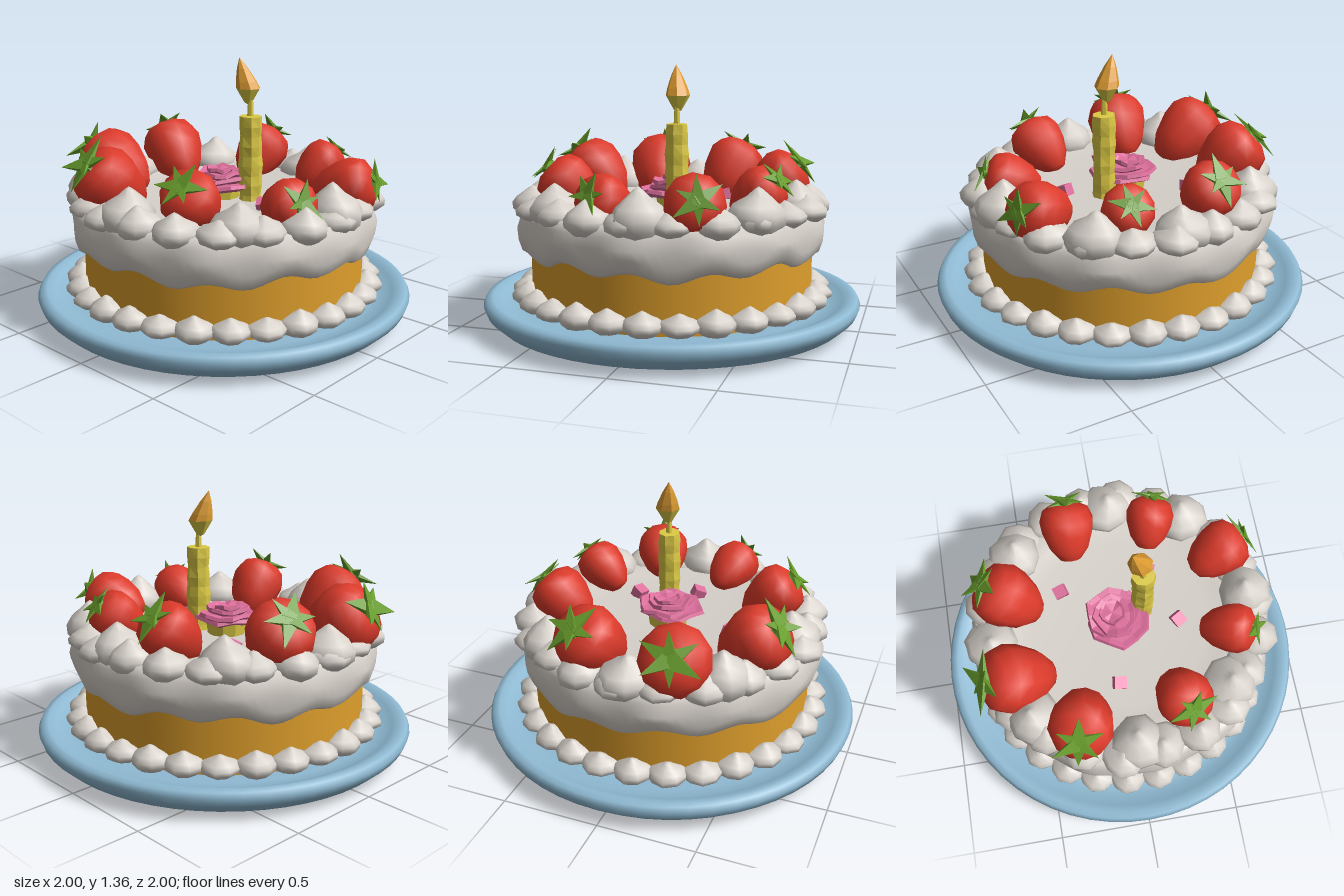
import * as THREE from 'three';
import { mergeVertices } from 'three/addons/utils/BufferGeometryUtils.js';

const paint = (name, color, flatShading = false) => {
  const m = new THREE.MeshStandardMaterial({ color, flatShading });
  m.name = name;
  return m;
};

// Lathe from [radius, height] pairs, bottom to top, optionally reshaped by a rule
function turned(points, sides, rule) {
  let g = new THREE.LatheGeometry(points.map(([r, y]) => new THREE.Vector2(r, y)), sides);
  g.deleteAttribute('uv');
  g.deleteAttribute('normal');
  g = mergeVertices(g, 1e-4);
  if (rule) {
    const p = g.attributes.position;
    const v = new THREE.Vector3();
    for (let i = 0; i < p.count; i++) {
      v.fromBufferAttribute(p, i);
      rule(v, Math.atan2(v.z, v.x), Math.hypot(v.x, v.z));
      p.setXYZ(i, v.x, v.y, v.z);
    }
  }
  g.computeVertexNormals();
  return g;
}

export function createModel() {
  const cream = paint('cream', 0xd6d0c9);
  const sponge = paint('golden sponge', 0xdf9f2c);
  const blue = paint('plate blue', 0x8fbad3);
  const red = paint('strawberry red', 0xdc3a2a);
  const green = paint('leaf green', 0x689c2c, true);
  const pink = paint('rose pink', 0xdd6f9c, true);
  const yellow = paint('candle yellow', 0xdcca45, true);
  const orange = paint('flame orange', 0xdf9d33, true);

  const model = new THREE.Group();
  const add = (name, geometry, material, parent = model, x = 0, y = 0, z = 0) => {
    const mesh = new THREE.Mesh(geometry, material);
    mesh.name = name;
    mesh.position.set(x, y, z);
    parent.add(mesh);
    return mesh;
  };

  // Plate and sponge
  add('plate', turned([[0, 0], [0.8, 0], [0.84, 0.003], [0.93, 0.03], [0.985, 0.08], [1, 0.12],
    [0.985, 0.15], [0.95, 0.157], [0.91, 0.14], [0.86, 0.115], [0.8, 0.11], [0, 0.11]], 56), blue);
  add('sponge', new THREE.CylinderGeometry(0.745, 0.745, 0.46, 40), sponge, model, 0, 0.35, 0);

  // Icing with a scalloped lower edge
  add('icing', turned([[0.7, 0.43], [0.755, 0.395], [0.785, 0.415], [0.803, 0.47], [0.808, 0.53],
    [0.79, 0.585], [0.77, 0.63], [0.66, 0.65], [0.56, 0.635], [0.46, 0.615], [0, 0.61]], 96, (v, a, r) => {
    if (r < 0.6) return;
    const k = 1 + 0.012 * Math.cos(13 * a) + 0.006 * Math.sin(7 * a + 1);
    v.x *= k;
    v.z *= k;
    if (v.y < 0.5) v.y += 0.022 * Math.cos(13 * a + 0.5) + 0.01 * Math.sin(5 * a);
  }), cream);

  // Piped cream: a drop with a soft peak, leaning a little
  const drop = turned([[0, -0.08], [0.09, -0.07], [0.138, -0.02], [0.142, 0.03], [0.115, 0.075],
    [0.06, 0.115], [0.022, 0.15], [0, 0.165]], 9, (v, a) => {
    const k = 1 + 0.05 * Math.cos(3 * a);
    v.x *= k;
    v.z *= k;
    if (v.y > 0.1) v.x += 0.015;
  });
  const piping = new THREE.Group();
  piping.name = 'creamPiping';
  model.add(piping);
  // Tall drops stand in the gaps between the strawberries
  const gaps = [[0.03, -0.67], [0.44, -0.54], [0.69, -0.05], [0.5, 0.44], [-0.02, 0.67],
    [-0.52, 0.46], [-0.69, 0.03], [-0.51, -0.46]];
  gaps.forEach(([x, z], i) => {
    const d = add('tallDrop', drop, cream, piping, x, 0.635, z);
    d.scale.set(1, 0.9 + 0.08 * (i % 3), 1);
    d.rotation.y = i * 1.9;
  });
  // Low drops round the edge
  const edge = 22;
  for (let i = 0; i < edge; i++) {
    const a = (i / edge) * Math.PI * 2;
    const r = 0.715 + 0.012 * Math.sin(i * 2.3);
    const d = add('edgeDrop', drop, cream, piping, r * Math.cos(a), 0.625, r * Math.sin(a));
    d.scale.set(0.84, 0.62 + 0.1 * Math.sin(i * 1.7), 0.84);
    d.rotation.y = -a;
  }
  // Shell border round the foot
  const shells = 28;
  for (let i = 0; i < shells; i++) {
    const a = ((i + 0.5) / shells) * Math.PI * 2;
    const d = add('footShell', drop, cream, piping, 0.757 * Math.cos(a), 0.165, 0.757 * Math.sin(a));
    d.scale.set(0.66, 0.5 + 0.05 * Math.sin(i * 2.1), 0.72);
    d.rotation.y = -a;
  }

  // Strawberries: centre x, y, z, leaf direction x, z, tilt in radians, size
  const berries = [
    [-0.2, 0.735, -0.53, 0.05, -1, 0.75, 1], [0.25, 0.725, -0.51, 0.3, -1, 0.65, 0.88],
    [0.585, 0.715, -0.28, 1, -0.4, 0.3, 1], [0.555, 0.705, 0.16, 1, 0.35, 0.35, 0.9],
    [0.24, 0.725, 0.48, 0.3, 1, 0.75, 1], [-0.285, 0.735, 0.53, -0.25, 1, 0.7, 1.15],
    [-0.58, 0.73, 0.25, -1, 0.15, 0.55, 1.22], [-0.565, 0.735, -0.19, -1, -0.4, 0.75, 1.15],
  ];
  const berryBody = turned([[0, -0.175], [0.06, -0.16], [0.11, -0.095], [0.14, -0.01], [0.148, 0.06],
    [0.125, 0.12], [0.07, 0.15], [0, 0.15]], 11);
  const leaf = new THREE.ConeGeometry(0.05, 0.13, 4).rotateY(Math.PI / 4).scale(1, 1, 0.35)
    .translate(0, 0.06, 0);
  const up = new THREE.Vector3(0, 1, 0);
  berries.forEach(([x, y, z, dx, dz, tilt, size], n) => {
    const berry = new THREE.Group();
    berry.name = 'strawberry';
    berry.position.set(x, y, z);
    berry.scale.setScalar(size);
    const out = new THREE.Vector3(dx, 0, dz).normalize().multiplyScalar(Math.cos(tilt));
    out.y = Math.sin(tilt);
    berry.quaternion.setFromUnitVectors(up, out);
    model.add(berry);
    add('fruit', berryBody, red, berry);
    add('leafCrown', new THREE.CylinderGeometry(0.03, 0.05, 0.035, 6), green, berry, 0, 0.16, 0);
    for (let i = 0; i < 6; i++) {
      const l = add('leaf', leaf, green, berry, 0, 0.165, 0);
      l.rotation.set(1.5 + 0.2 * Math.sin(i * 2.7 + n), i * Math.PI / 3 + n, 0, 'YXZ');
      l.scale.setScalar(1 + 0.14 * Math.cos(i * 2 + n));
    }
  });

  // Rose on a yellow base: stacked, crumpled petal layers
  add('roseBase', new THREE.CylinderGeometry(0.11, 0.1, 0.08, 10), yellow, model, -0.03, 0.645, -0.01);
  const rose = new THREE.Group();
  rose.name = 'rose';
  rose.position.set(-0.02, 0, 0);
  model.add(rose);
  [[0.165, 0.685, 0.01, 0.01], [0.145, 0.712, -0.015, -0.02], [0.115, 0.735, -0.01, 0],
    [0.07, 0.75, -0.02, -0.01]].forEach(([r, y, x, z], i) => {
    const petals = turned([[0, -0.02], [0.7 * r, -0.025], [r, 0], [0.95 * r, 0.018], [0.75 * r, 0.01],
      [0, 0.005]], 12, (v, a, d) => {
      const k = 1 + 0.07 * Math.sin(5 * a + i * 2);
      v.x *= k;
      v.z *= k;
      v.y += 0.008 * (d / r) * Math.sin(4 * a + i);
    });
    add('petalLayer', petals, pink, rose, x, y, z);
  });

  // Sugar pieces
  [[-0.29, -0.22], [0.2, -0.27], [0.31, 0.04], [-0.06, 0.34]].forEach(([x, z], i) => {
    const s = add('sugarPiece', new THREE.BoxGeometry(0.065, 0.06, 0.065), pink, model, x, 0.635, z);
    s.rotation.set(0.25, 0.3 + i * 0.9, 0.2);
  });

  // Candle, wick and flame
  const candle = new THREE.Group();
  candle.name = 'candle';
  candle.position.set(0.13, 0, -0.065);
  model.add(candle);
  const stick = [[0, 0.6], [0.064, 0.6]];
  for (let i = 0; i <= 8; i++) stick.push([0.058 + 0.004 * (i % 2), 0.64 + i * 0.052]);
  stick.push([0, 1.058]);
  add('stick', turned(stick, 8, (v, a) => {
    const k = 1 + 0.06 * Math.cos(2 * a + v.y * 18);
    v.x *= k;
    v.z *= k;
  }), yellow, candle);
  add('wick', new THREE.CylinderGeometry(0.013, 0.018, 0.11, 6), yellow, candle, -0.003, 1.1, 0);
  const lean = (v) => {
    const t = Math.max(0, (v.y - 1.2) / 0.16);
    v.x -= 0.045 * t;
    v.z += 0.022 * t;
  };
  const bulb = [[0.035, 1.15], [0.064, 1.2]];
  add('flameFoot', turned([[0, 1.115], [0.02, 1.125], ...bulb], 7, lean), yellow, candle, -0.018, 0, 0);
  add('flameTip', turned([[0.064, 1.2], [0.055, 1.235], [0.03, 1.3], [0, 1.357]], 7, lean),
    orange, candle, -0.018, 0, 0);

  return model;
}
